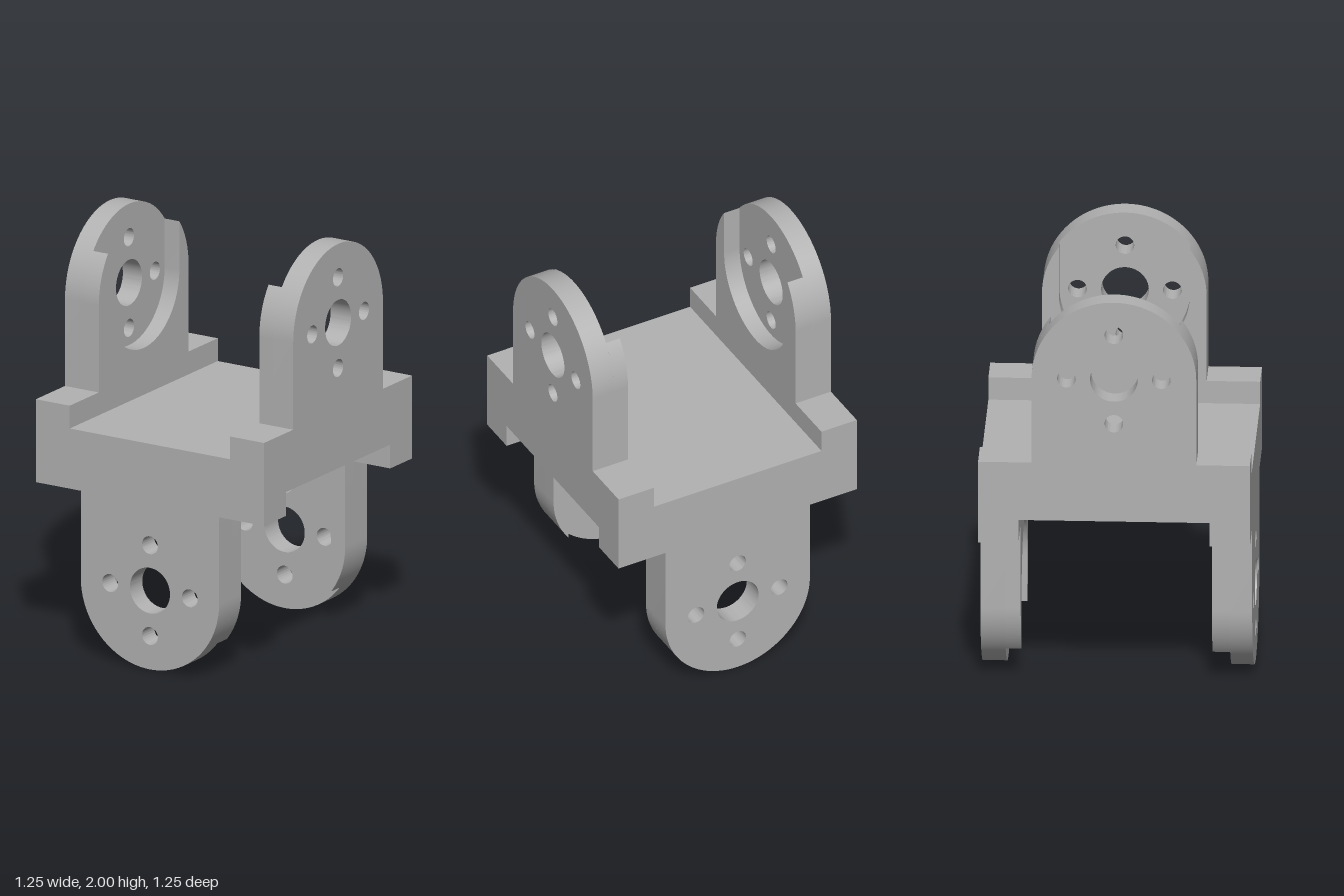
import * as THREE from 'three';
import { toCreasedNormals } from 'three/addons/utils/BufferGeometryUtils.js';

const HALF = 0.627;     // half width of the bracket
const INNER = 0.441;    // inner face of each ear
const SHOULDER = 0.2;   // shoulder height above the middle of the bracket
const EAR_R = 0.38;     // radius of the rounded ear
const POCKET_R = 0.302; // radius of the open pocket inside the ear
const PIVOT = 0.618;    // pivot height above the middle of the bracket

const metal = new THREE.MeshStandardMaterial({ color: 0xb2b2b2 });
metal.name = 'grey metal';

function extrude(shape, from, to) {
  const g = new THREE.ExtrudeGeometry(shape, { depth: to - from, bevelEnabled: false, curveSegments: 40 });
  g.translate(0, 0, from);
  return toCreasedNormals(g, 0.5);
}

// Shouldered wall with a round-topped ear; the pocketed version is cut open at the top
function earShape(base, pocketed) {
  const s = new THREE.Shape();
  s.moveTo(-HALF, base);
  s.lineTo(HALF, base);
  s.lineTo(HALF, SHOULDER);
  s.lineTo(EAR_R, SHOULDER);
  s.lineTo(EAR_R, PIVOT);
  if (pocketed) {
    const a = Math.acos(POCKET_R / EAR_R);
    s.absarc(0, PIVOT, EAR_R, 0, a, false);
    s.lineTo(POCKET_R, PIVOT);
    s.absarc(0, PIVOT, POCKET_R, 0, -Math.PI, true);
    s.absarc(0, PIVOT, EAR_R, Math.PI - a, Math.PI, false);
  } else {
    s.absarc(0, PIVOT, EAR_R, 0, Math.PI, false);
    // Centre bore and four screw holes
    const holes = [[0, 0, 0.11], [0.219, 0, 0.043], [-0.219, 0, 0.043], [0, 0.219, 0.043], [0, -0.219, 0.043]];
    for (const [x, y, r] of holes) {
      s.holes.push(new THREE.Path().absarc(x, PIVOT + y, r, 0, Math.PI * 2, true));
    }
  }
  s.lineTo(-EAR_R, SHOULDER);
  s.lineTo(-HALF, SHOULDER);
  s.closePath();
  return s;
}

// Ear standing at +z: drilled outer plate plus pocketed inner plate
function makeEar(name, base, floor) {
  const ear = new THREE.Group();
  ear.name = name;
  const outer = new THREE.Mesh(extrude(earShape(base, false), floor, HALF), metal);
  outer.name = name + 'OuterPlate';
  const inner = new THREE.Mesh(extrude(earShape(base, true), INNER, floor), metal);
  inner.name = name + 'PocketRim';
  ear.add(outer, inner);
  ear.position.y = 1;
  return ear;
}

export function createModel() {
  const model = new THREE.Group();
  model.name = 'doubleClevisBracket';

  // Square centre plate
  const plate = new THREE.Mesh(new THREE.BoxGeometry(HALF * 2, 0.175, HALF * 2), metal);
  plate.name = 'centrePlate';
  plate.position.y = 1.0025;
  model.add(plate);

  // Upper pair on the sides, lower pair hanging at front and back
  const left = makeEar('leftUpperEar', 0.09, 0.514);
  left.rotation.y = Math.PI / 2;
  const right = makeEar('rightUpperEar', 0.09, 0.522);
  right.rotation.y = -Math.PI / 2;
  const front = makeEar('frontLowerEar', 0.085, 0.522);
  front.rotation.z = Math.PI;
  const back = makeEar('backLowerEar', 0.085, 0.514);
  back.rotation.x = Math.PI;
  model.add(left, right, front, back);

  return model;
}
